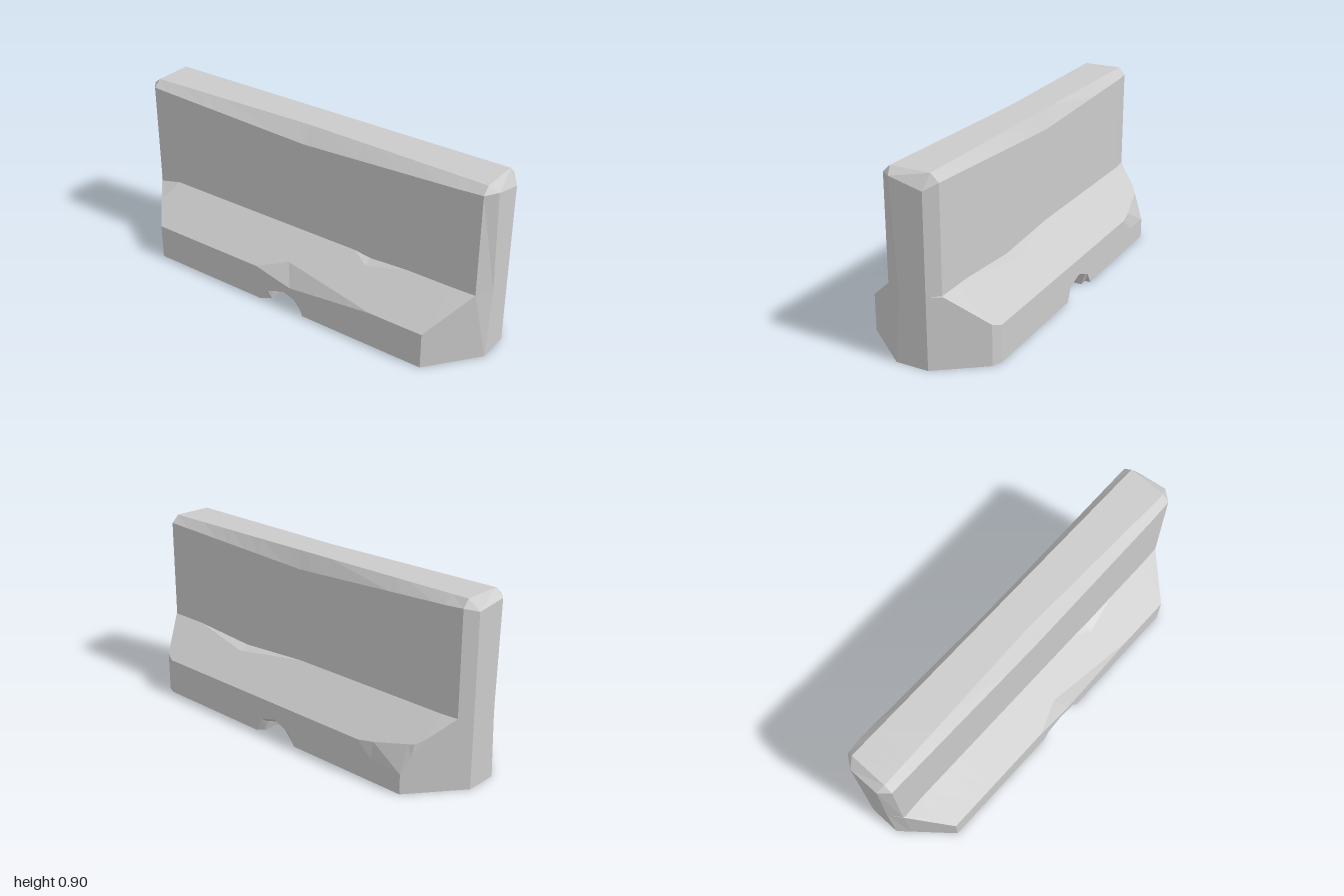
import * as THREE from 'three';

// piecewise-linear lookup in a list of [z, value], ascending z
function at(table, z) {
  if (z <= table[0][0]) return table[0][1];
  for (let i = 1; i < table.length; i++) {
    const [z0, v0] = table[i - 1], [z1, v1] = table[i];
    if (z <= z1) return v0 + (v1 - v0) * (z - z0) / (z1 - z0);
  }
  return table[table.length - 1][1];
}

// height of the sloping ledge at distance x from the middle
const slope = (x) => Math.min(0.355, 0.185 + (0.33 - x) * 0.17 / 0.19);

// drain tunnel under the middle: inner size and flared mouth
const tunnelInner = [[-0.09, 0], [-0.075, 0.06], [0, 0.078], [0.075, 0.055], [0.095, 0]];
const tunnelMouth = [[-0.135, 0], [-0.1, 0.06], [0, 0.1], [0.095, 0.07], [0.125, 0]];

// per side: plan outline, chipped ledge edges, top bevel, bowed end corners
const left = {
  plan: [[-1, 0.075], [-0.8, 0.33], [0.78, 0.33], [0.83, 0.31], [1, 0.085]],
  edgeDrop: [[-0.86, 0], [-0.8, 0.085], [-0.63, 0.075], [-0.55, 0]],
  lowX: [[-0.86, 0.265], [-0.63, 0.317], [-0.55, 0.33]],
  creaseDrop: [[0, 0], [0.39, 0.025], [0.75, 0]],
  highX: [[0, 0.14], [0.39, 0.19], [0.75, 0.14]],
  bevelY: [[-1, 0.85], [-0.955, 0.868], [0, 0.825], [0.955, 0.868], [1, 0.835]],
  topX: [[0, 0.1]],
  bow: [[0, 0]],
};
const right = {
  plan: [[-1, 0.09], [-0.8, 0.33], [0.8, 0.33], [1, 0.08]],
  edgeDrop: [[-0.16, 0], [0.05, 0.05], [0.52, 0]],
  lowX: [[-0.16, 0.33], [0, 0.27], [0.52, 0.33]],
  creaseDrop: [[-0.955, 0.03], [-0.83, 0], [0.3, 0], [0.39, 0.012], [0.6, 0]],
  highX: [[-0.955, 0.14], [-0.87, 0.22], [-0.83, 0.14], [0.3, 0.14], [0.39, 0.18], [0.6, 0.14]],
  bevelY: [[-1, 0.87], [-0.955, 0.87], [0, 0.83], [0.955, 0.87], [1, 0.875]],
  topX: [[-0.955, 0.1], [0, 0.075], [0.955, 0.1]],
  bow: [[-1, 0.015], [-0.955, 0], [0.955, 0], [1, 0.027]],
};

const stations = [-1, -0.955, -0.87, -0.83, -0.8, -0.63, -0.55, -0.16, -0.135, -0.1, -0.09, -0.075,
  0, 0.05, 0.075, 0.095, 0.125, 0.3, 0.39, 0.52, 0.6, 0.75, 0.78, 0.8, 0.83, 0.955, 1];

// half cross-section from the underside up to the top
function halfSection(side, z, sign) {
  const c = at(side.plan, z), bow = at(side.bow, z);
  const lowX = Math.min(at(side.lowX, z), c), highX = Math.min(at(side.highX, z), c);
  const wallX = Math.min(0.14, c);
  const bevelY = at(side.bevelY, z);
  const isEnd = Math.abs(z) === 1;
  return [
    [Math.min(0.3, c), at(tunnelInner, z)],
    [c, at(tunnelMouth, z)],
    [c - bow, slope(c) - at(side.edgeDrop, z)],
    [lowX - bow, slope(lowX)],
    [highX - bow, slope(highX)],
    [wallX - bow, 0.355 - at(side.creaseDrop, z)],
    [wallX, bevelY],
    [Math.min(at(side.topX, z), c), isEnd ? bevelY : 0.905],
  ].map(([x, y]) => new THREE.Vector3(sign * x, y, z));
}

function barrierGeometry() {
  const out = [];
  const tri = (a, b, c) => {
    const area = b.clone().sub(a).cross(c.clone().sub(a)).length();
    if (area > 1e-7) for (const p of [a, b, c]) out.push(p.x, p.y, p.z);
  };
  const quad = (a, b, c, d) => { tri(a, b, c); tri(a, c, d); };

  // closed loops, counter-clockwise seen from the front
  const loops = stations.map((z) =>
    [...halfSection(left, z, 1), ...halfSection(right, z, -1).reverse()]);
  const n = loops[0].length;
  for (let i = 0; i < loops.length - 1; i++) {
    const a = loops[i], b = loops[i + 1];
    for (let j = 0; j < n; j++) {
      const k = (j + 1) % n;
      quad(a[j], a[k], b[k], b[j]);
    }
  }

  // end faces
  const back = loops[0], front = loops[loops.length - 1];
  for (let j = 0; j < n / 2 - 1; j++) {
    const m = n - 1 - j;
    quad(front[j], front[j + 1], front[m - 1], front[m]);
    quad(back[m], back[m - 1], back[j + 1], back[j]);
  }

  const geometry = new THREE.BufferGeometry();
  geometry.setAttribute('position', new THREE.Float32BufferAttribute(out, 3));
  geometry.computeVertexNormals();
  return geometry;
}

export function createModel() {
  const group = new THREE.Group();
  group.name = 'concreteBarrier';
  const material = new THREE.MeshStandardMaterial({ color: 0xcccccc, flatShading: true });
  const body = new THREE.Mesh(barrierGeometry(), material);
  body.name = 'barrierBody';
  group.add(body);
  return group;
}
